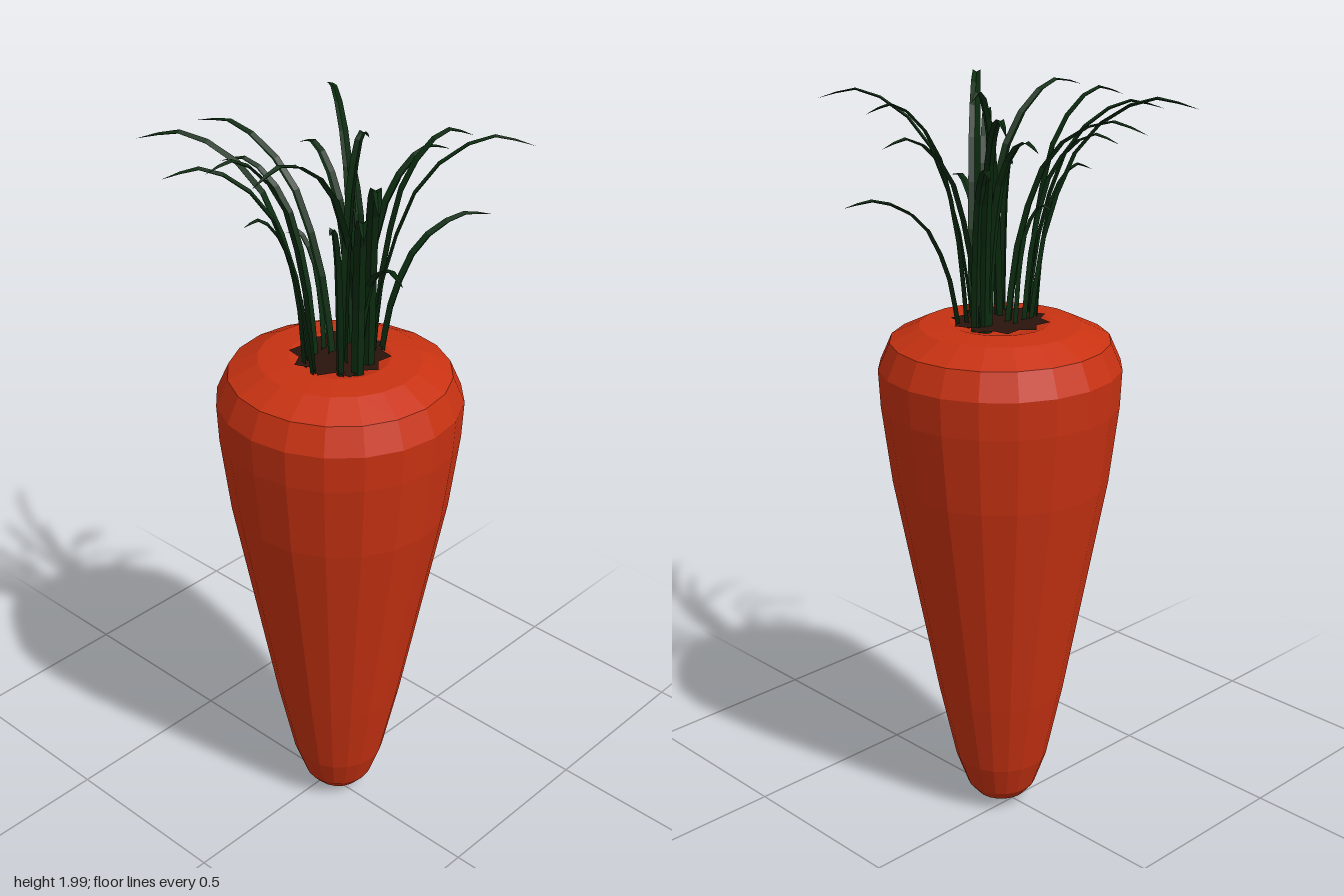
import * as THREE from 'three';

const CX = 0.032, CZ = -0.012; // root axis

// Base x,z, tip x,z, peak height and width of every blade
const BLADES = [
  [0.10, -0.04, 0.38, -0.305, 1.99, 0.036], [0.12, -0.02, 0.40, 0.265, 1.99, 0.044],
  [0.13, 0.03, 0.33, 0.235, 1.90, 0.044], [0.11, 0.01, 0.33, 0.10, 1.74, 0.036],
  [0.09, -0.10, 0.21, -0.37, 1.74, 0.044], [0.03, -0.09, 0.105, -0.33, 1.90, 0.044],
  [0.08, -0.08, 0.20, -0.30, 1.97, 0.044], [0.02, -0.08, -0.30, -0.315, 1.98, 0.036],
  [0.03, -0.10, -0.15, -0.22, 1.84, 0.036], [0.02, -0.07, -0.20, -0.11, 1.90, 0.04],
  [-0.01, 0.00, -0.11, 0.03, 1.72, 0.036], [0.02, 0.00, -0.40, 0.05, 1.95, 0.04],
  [0.00, 0.04, -0.25, 0.115, 1.90, 0.04], [0.00, 0.06, -0.355, 0.285, 1.98, 0.05],
  [0.00, 0.08, -0.08, 0.205, 1.80, 0.04], [0.05, 0.10, -0.175, 0.37, 1.95, 0.044],
  [0.04, 0.09, -0.07, 0.33, 1.98, 0.044], [0.06, -0.06, 0.085, 0.335, 1.99, 0.04],
  [0.10, 0.06, 0.10, 0.10, 1.80, 0.036], [0.07, 0.02, 0.06, -0.08, 1.99, 0.04],
];

// One folded, arching blade tapering to a point
function bladeGeometry([bx, bz, tx, tz, peak, width]) {
  const y0 = 1.38, rise = peak - y0;
  const curve = new THREE.CatmullRomCurve3(
    [[0, 0], [0.10, 0.45], [0.34, 0.84], [0.72, 1], [1, 0.96]].map(([d, h]) =>
      new THREE.Vector3(bx + (tx - bx) * d, y0 + rise * h, bz + (tz - bz) * d)));
  const side = new THREE.Vector3(tz - bz, 0, bx - tx).normalize();
  const steps = 9, pos = [], index = [];
  for (let i = 0; i <= steps; i++) {
    const t = i / steps;
    const p = curve.getPoint(t), normal = side.clone().cross(curve.getTangent(t));
    const half = width / 2 * (0.7 + 0.6 * t) * Math.pow(1 - t, 0.6);
    for (const s of [-1, 0, 1]) {
      const v = p.clone().addScaledVector(side, s * half);
      if (s === 0) v.addScaledVector(normal, half * 0.5);
      pos.push(v.x, v.y, v.z);
    }
    if (i < steps) for (const k of [0, 1]) {
      const a = i * 3 + k;
      index.push(a, a + 1, a + 3, a + 1, a + 4, a + 3);
    }
  }
  const g = new THREE.BufferGeometry();
  g.setAttribute('position', new THREE.Float32BufferAttribute(pos, 3));
  g.setIndex(index);
  g.computeVertexNormals();
  return g;
}

export function createModel() {
  const model = new THREE.Group();
  const orange = new THREE.MeshStandardMaterial({ color: 0xc83212, flatShading: true });
  const green = new THREE.MeshStandardMaterial({ color: 0x0c2c10, flatShading: true, side: THREE.DoubleSide });
  const brown = new THREE.MeshStandardMaterial({ color: 0x2a140c, flatShading: true, side: THREE.DoubleSide });

  // Tapered root with rounded shoulder and shallow crown
  const profile = [[0, 0], [0.045, 0.015], [0.07, 0.03], [0.095, 0.06], [0.127, 0.15],
    [0.172, 0.36], [0.287, 0.98], [0.313, 1.19], [0.318, 1.29], [0.287, 1.36],
    [0.21, 1.398], [0.13, 1.405], [0.07, 1.39], [0, 1.385]].map(([r, y]) => new THREE.Vector2(r, y));
  const root = new THREE.Mesh(new THREE.LatheGeometry(profile, 20), orange);
  root.name = 'root';
  root.position.set(CX, 0, CZ);
  model.add(root);

  // Jagged dark patch where the leaves sprout
  const star = new THREE.Shape();
  for (let i = 0; i < 20; i++) {
    const a = i / 20 * Math.PI * 2, r = i % 2 ? 0.105 : 0.13;
    star[i ? 'lineTo' : 'moveTo'](Math.cos(a) * r, Math.sin(a) * r);
  }
  const crown = new THREE.Mesh(new THREE.ShapeGeometry(star).rotateX(-Math.PI / 2), brown);
  crown.name = 'crown';
  crown.position.set(CX, 1.409, CZ);
  model.add(crown);

  // Tuft of leaves
  const leaves = new THREE.Group();
  leaves.name = 'leaves';
  for (const blade of BLADES) {
    const leaf = new THREE.Mesh(bladeGeometry(blade), green);
    leaf.name = 'leaf';
    leaves.add(leaf);
  }
  model.add(leaves);
  return model;
}
